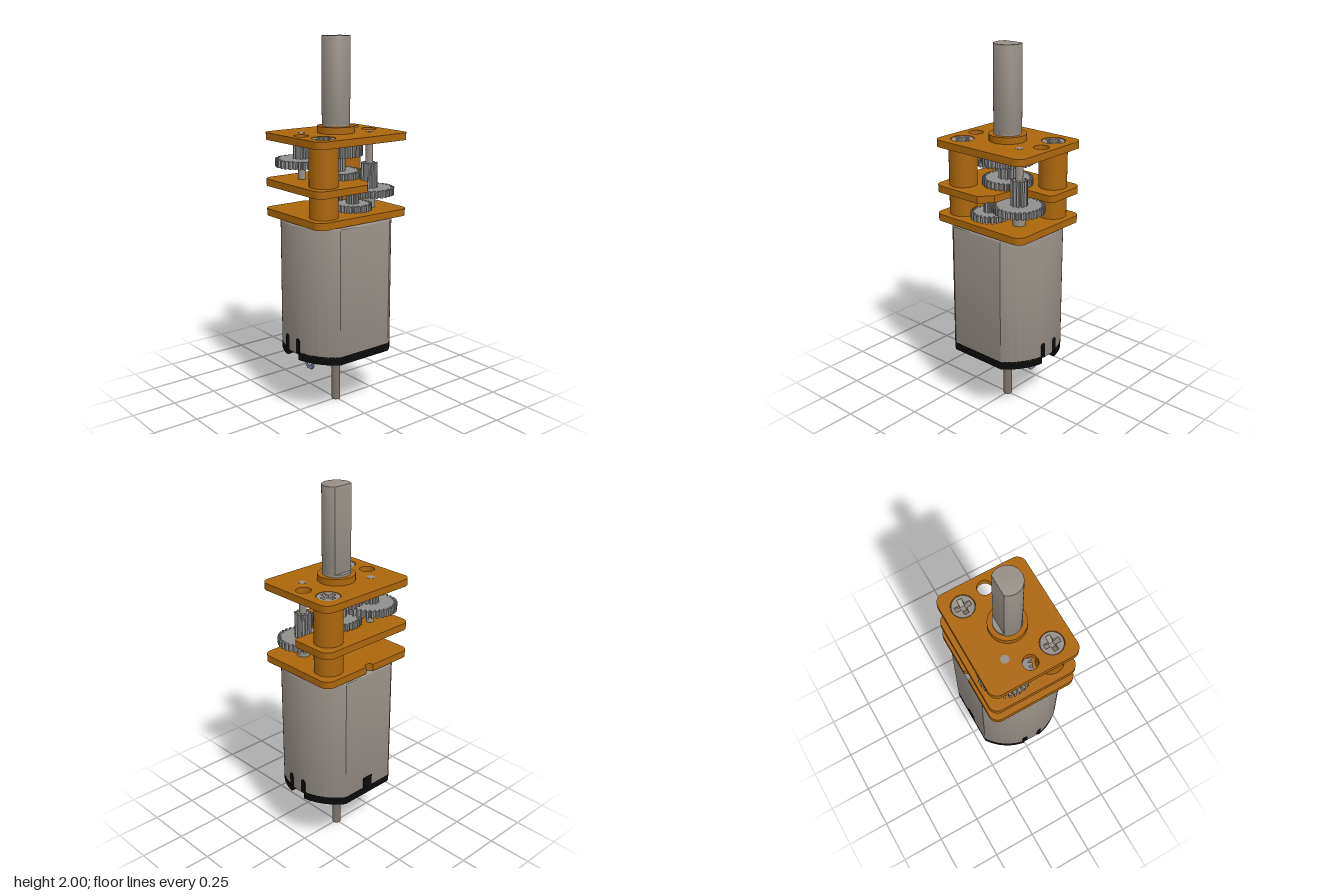
import * as THREE from 'three';
import { toCreasedNormals } from 'three/addons/utils/BufferGeometryUtils.js';

const material = (color) => new THREE.MeshStandardMaterial({ color });
const steel = material(0x968e86);
const gearSteel = material(0x8f8f8e);
const darkSteel = material(0x7c736a);
const brass = material(0xab660a);
const black = material(0x0a0a0a);
const tin = material(0x7f88a6);

export function createModel() {
  const model = new THREE.Group();

  const add = (name, geometry, mat, parent = model) => {
    const mesh = new THREE.Mesh(geometry, mat);
    mesh.name = name;
    parent.add(mesh);
    return mesh;
  };

  // Outline drawn in x/z, raised from y0 to y1
  const slab = (name, shape, y0, y1, mat, bevel = 0, parent = model) => {
    const geo = new THREE.ExtrudeGeometry(shape, {
      depth: y1 - y0 - 2 * bevel, curveSegments: 24, bevelEnabled: bevel > 0,
      bevelSize: bevel, bevelThickness: bevel, bevelOffset: -bevel, bevelSegments: 3,
    });
    geo.rotateX(Math.PI / 2).translate(0, y1 - bevel, 0);
    return add(name, toCreasedNormals(geo, 0.5), mat, parent);
  };

  const rod = (name, r, y0, y1, mat, x = 0, z = 0, parent = model) => {
    const geo = new THREE.CylinderGeometry(r, r, y1 - y0, 32);
    geo.translate(x, (y0 + y1) / 2, z);
    return add(name, geo, mat, parent);
  };

  const circle = (x, z, r) => new THREE.Path().absarc(x, z, r, 0, Math.PI * 2, true);

  // Round body with two flats
  const R = 0.296, FLAT = 0.246, A = Math.asin(FLAT / R);
  const bodyShape = (notched) => {
    const s = new THREE.Shape();
    const d = notched ? Math.asin(0.05 / R) : 0;
    for (const turn of [0, Math.PI]) {
      if (notched) {
        const k = turn ? -1 : 1;
        s.absarc(0, 0, R, turn - A, turn - d, false);
        s.lineTo(0.25 * k, -0.05 * k);
        s.lineTo(0.25 * k, 0.05 * k);
        s.absarc(0, 0, R, turn + d, turn + A, false);
      } else s.absarc(0, 0, R, turn - A, turn + A, false);
    }
    return s;
  };

  // Motor
  slab('motorCan', bodyShape(false), 0.345, 1.058, steel, 0.015);
  slab('motorEndCap', bodyShape(true), 0.32, 0.365, black);
  const bossProfile = [[0, 0.26], [0.105, 0.26], [0.117, 0.265], [0.122, 0.277], [0.122, 0.325]];
  add('endCapBoss', new THREE.LatheGeometry(
    bossProfile.map(([r, y]) => new THREE.Vector2(r, y)), 48), black);
  rod('rearShaft', 0.024, 0, 0.3, darkSteel);
  const backSlot = add('canBackSlot', new THREE.BoxGeometry(0.065, 0.07, 0.004), black);
  backSlot.position.set(0, 0.39, -FLAT);

  for (const side of [-1, 1]) {
    // Rounded slots beside the can's crimped tab
    for (const z of [-0.045, 0.045]) {
      const slot = new THREE.Shape();
      slot.moveTo(-0.015, 0.355).lineTo(0.015, 0.355).lineTo(0.015, 0.425);
      slot.absarc(0, 0.425, 0.015, 0, Math.PI, false);
      const geo = new THREE.ExtrudeGeometry(slot, { depth: 0.01, bevelEnabled: false });
      const mesh = add('canSideSlot', geo, black);
      mesh.rotation.y = side * Math.PI / 2;
      mesh.position.set(side * 0.2845, 0, z);
    }
    // Solder terminals with an eye
    const tab = new THREE.Shape();
    tab.moveTo(-0.034, 0.33).lineTo(-0.034, 0.245).lineTo(-0.018, 0.226);
    tab.lineTo(0.018, 0.226).lineTo(0.034, 0.245).lineTo(0.034, 0.33);
    tab.holes.push(circle(0, 0.263, 0.02));
    const geo = new THREE.ExtrudeGeometry(tab, { depth: 0.012, bevelEnabled: false });
    const terminal = add('terminal', geo, tin);
    terminal.rotation.y = Math.PI / 2;
    terminal.position.x = side * 0.18 - 0.006;
  }

  // Gearbox plates
  const W = 0.298, D = 0.248, C = 0.05;
  const corner = (s, sx, sz, start) =>
    s.absarc(sx * (W - C), sz * (D - C), C, start, start + Math.PI / 2, false);
  const plateShape = (kind) => {
    const s = new THREE.Shape();
    corner(s, -1, -1, Math.PI);
    if (kind === 'bottom') s.absarc(0, -D, 0.025, Math.PI, 0, true);
    corner(s, 1, -1, -Math.PI / 2);
    if (kind === 'middle') {
      // Open corner that clears the second gear
      s.lineTo(W, -0.03).quadraticCurveTo(W, 0, W - 0.03, 0);
      s.lineTo(0.15, 0);
      s.quadraticCurveTo(0.075, 0.01, 0.075, 0.13);
      s.lineTo(0.07, 0.18).lineTo(0.01, D);
    } else corner(s, 1, 1, 0);
    corner(s, -1, 1, Math.PI / 2);
    return s;
  };
  const screws = [[-0.189, 0.139], [0.189, -0.141]];
  const topShape = plateShape('top');
  for (const x of [-0.224, 0.224]) topShape.holes.push(circle(x, 0, 0.04));
  for (const [x, z] of screws) topShape.holes.push(circle(x, z, 0.062));
  slab('bottomPlate', plateShape('bottom'), 1.062, 1.1, brass);
  slab('middlePlate', plateShape('middle'), 1.222, 1.26, brass);
  slab('topPlate', topShape, 1.467, 1.505, brass);
  rod('outputBushing', 0.099, 1.5, 1.54, brass);

  // Spacers and cross-head screws
  for (const [x, z] of screws) {
    rod('lowerSpacer', 0.075, 1.1, 1.222, brass, x, z);
    rod('upperSpacer', 0.075, 1.26, 1.467, brass, x, z);
    const screw = new THREE.Group();
    screw.name = 'screw';
    screw.position.set(x, 0, z);
    model.add(screw);
    const head = new THREE.Shape().absarc(0, 0, 0.059, 0, Math.PI * 2, false);
    const a = 0.043, b = 0.013;
    const cross = [[a, b], [b, b], [b, a], [-b, a], [-b, b], [-a, b],
      [-a, -b], [-b, -b], [-b, -a], [b, -a], [b, -b], [a, -b]];
    head.holes.push(new THREE.Path(cross.map(([u, v]) => new THREE.Vector2(u, v))));
    slab('screwHead', head, 1.467, 1.503, steel, 0, screw);
    rod('screwCore', 0.058, 1.46, 1.475, steel, 0, 0, screw);
    // Recess arms slope down to the middle
    for (let i = 0; i < 4; i++) {
      const slope = new THREE.BoxGeometry(0.042, 0.004, 2 * b);
      slope.rotateZ(0.72).translate(0.028, 1.486, 0).rotateY(i * Math.PI / 2);
      add('recessSlope', slope, steel, screw);
    }
  }

  // Spur gear with tapered teeth
  const gear = (name, x, z, r, y0, y1, teeth, depth) => {
    const pts = [];
    for (let i = 0; i < teeth; i++) {
      for (const [t, rr] of [[0, r - depth], [0.28, r - depth], [0.42, r], [0.82, r]]) {
        const ang = (i + t) / teeth * Math.PI * 2;
        pts.push(new THREE.Vector2(Math.cos(ang) * rr, Math.sin(ang) * rr));
      }
    }
    slab(name, new THREE.Shape(pts), y0, y1, gearSteel).position.set(x, 0, z);
  };
  const wheel = (name, x, z, r, y0, y1) => gear(name, x, z, r, y0, y1, Math.round(r * 230), 0.02);
  const pinion = (name, x, z, r, y0, y1) => gear(name, x, z, r, y0, y1, 10, r * 0.35);

  // Gear train from motor to output
  pinion('motorPinion', 0, 0, 0.034, 1.1, 1.17);
  wheel('firstGear', 0, 0.14, 0.102, 1.115, 1.15);
  pinion('firstPinion', 0, 0.14, 0.034, 1.15, 1.215);
  wheel('secondGear', 0.155, 0.088, 0.135, 1.17, 1.207);
  pinion('secondPinion', 0.155, 0.088, 0.045, 1.207, 1.34);
  wheel('thirdGear', 0, 0, 0.135, 1.268, 1.303);
  pinion('thirdPinion', 0, 0, 0.052, 1.303, 1.382);
  wheel('fourthGear', -0.15, -0.1, 0.14, 1.33, 1.37);
  pinion('fourthPinion', -0.15, -0.1, 0.045, 1.37, 1.46);
  wheel('outputGear', 0, 0, 0.142, 1.385, 1.455);

  // Gear pins
  rod('centrePin', 0.022, 1.1, 1.4, steel);
  rod('firstPin', 0.02, 1.1, 1.23, steel, 0, 0.14);
  rod('secondPin', 0.02, 1.1, 1.506, steel, 0.155, 0.088);
  rod('secondCollar', 0.034, 1.1, 1.17, steel, 0.155, 0.088);
  rod('fourthPin', 0.022, 1.25, 1.506, steel, -0.15, -0.099);

  // Output shaft with a flat at the back
  const SR = 0.074, cut = Math.asin(0.049 / SR);
  const dShape = new THREE.Shape().absarc(0, 0, SR, -cut, Math.PI + cut, false);
  rod('outputShaftBase', SR, 1.45, 1.553, steel);
  slab('outputShaft', dShape, 1.55, 2, steel, 0.002);

  return model;
}
